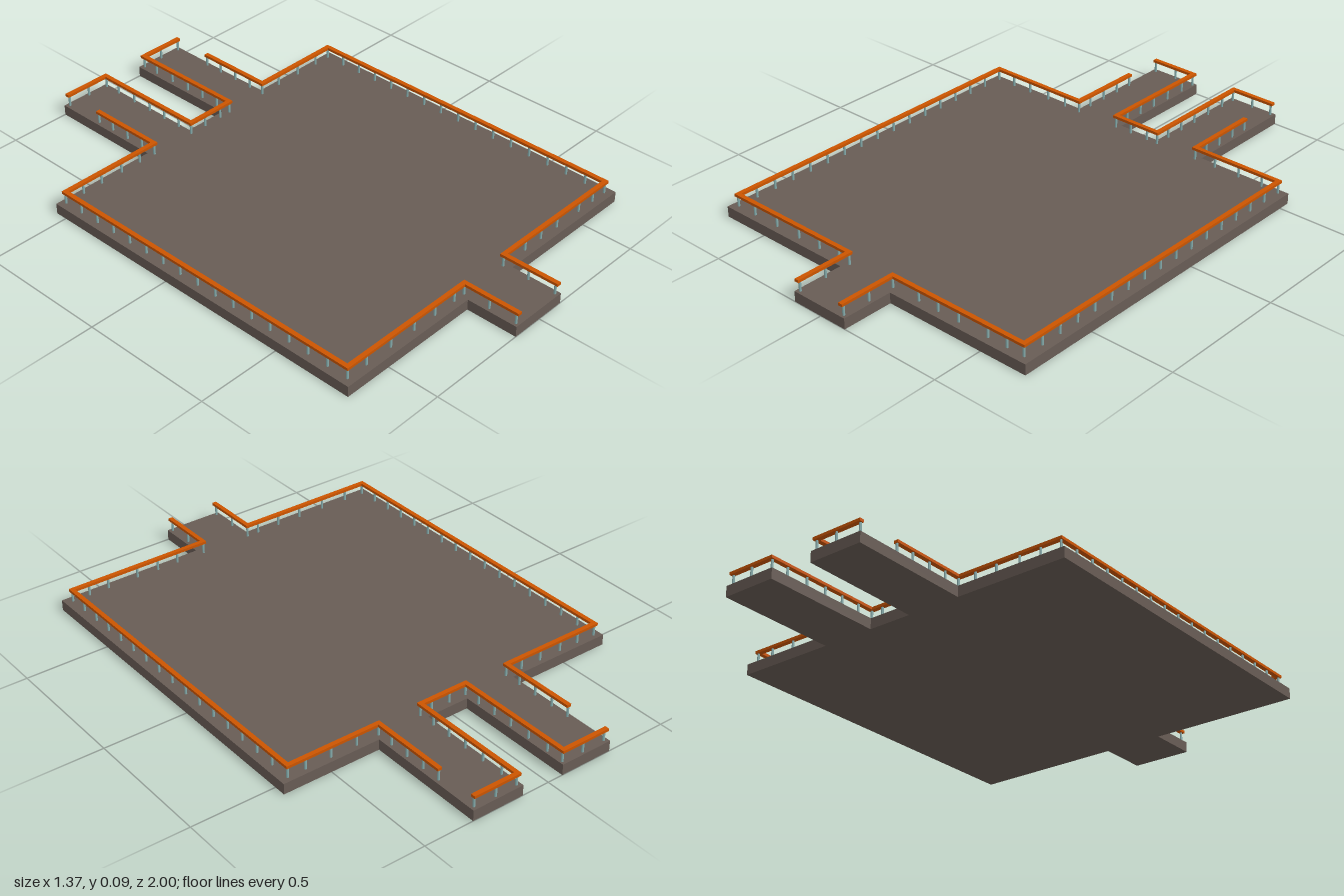
import * as THREE from 'three';

const SLAB_TOP = 0.04, RAIL_Y = 0.084, RAIL_H = 0.01, RAIL_W = 0.017;

export function createModel() {
  const model = new THREE.Group();
  model.name = 'railedPlatform';

  const deckMat = new THREE.MeshStandardMaterial({ color: 0x685c55 });
  deckMat.name = 'deck grey brown';
  const railMat = new THREE.MeshStandardMaterial({ color: 0xcc5500 });
  railMat.name = 'rail orange';
  const postMat = new THREE.MeshStandardMaterial({ color: 0x86adad });
  postMat.name = 'post pale teal';

  // Deck: one slab with a front walkway and two rear walkways
  const outline = [
    [-0.12, 1], [0.11, 1], [0.11, 0.805], [0.685, 0.805], [0.685, -0.545],
    [0.31, -0.545], [0.31, -1], [0.107, -1], [0.107, -0.545], [-0.06, -0.545],
    [-0.06, -1], [-0.265, -1], [-0.265, -0.545], [-0.685, -0.545],
    [-0.685, 0.805], [-0.12, 0.805],
  ];
  const shape = new THREE.Shape(outline.map(([x, z]) => new THREE.Vector2(x, -z)));
  const deckGeo = new THREE.ExtrudeGeometry(shape, { depth: SLAB_TOP, bevelEnabled: false });
  deckGeo.rotateX(-Math.PI / 2);
  const deck = new THREE.Mesh(deckGeo, deckMat);
  deck.name = 'deck';
  model.add(deck);

  // Railing runs: corner points in order along the edge of the deck
  const runs = {
    leftRailing: [[0.095, 0.995], [0.095, 0.777], [0.655, 0.777], [0.655, -0.524],
      [0.296, -0.524], [0.296, -0.82]],
    rightRailing: [[-0.106, 0.995], [-0.106, 0.777], [-0.658, 0.777], [-0.658, -0.524],
      [-0.25, -0.524], [-0.25, -0.82]],
    rearRailing: [[-0.25, -0.988], [-0.07, -0.988], [-0.07, -0.524], [0.123, -0.524],
      [0.123, -0.988], [0.296, -0.988]],
  };
  // Post positions between the corners: x for crosswise runs, z for lengthwise
  const side = Array.from({ length: 15 }, (_, i) => 0.777 - (i + 1) * 1.301 / 16);
  const rear = [-0.59, -0.667, -0.746];
  const stops = {
    leftRailing: [[0.88], [0.211, 0.296, 0.384, 0.507, 0.586], side, [0.384, 0.487, 0.586], rear],
    rightRailing: [[0.88], [-0.155, -0.25, -0.35, -0.46, -0.572], side,
      [-0.579, -0.497, -0.405, -0.32], rear],
    rearRailing: [[-0.155], [...rear, -0.83, -0.917], [0, 0.076], [...rear, -0.83, -0.917], [0.211]],
  };

  const postH = RAIL_Y - SLAB_TOP;
  const postGeo = new THREE.CylinderGeometry(0.0045, 0.0045, postH, 8);
  for (const [name, points] of Object.entries(runs)) {
    const railing = new THREE.Group();
    railing.name = name;
    const addPost = (x, z) => {
      const post = new THREE.Mesh(postGeo, postMat);
      post.name = 'post';
      post.position.set(x, SLAB_TOP + postH / 2, z);
      railing.add(post);
    };
    points.forEach(([x, z], i) => {
      // Corner and end posts stay just inside the deck edge
      addPost(x, THREE.MathUtils.clamp(z, -0.985, 0.987));
      if (i === points.length - 1) return;
      const [x2, z2] = points[i + 1];
      const crosswise = z === z2;
      // Handrail bar, lengthened by half its width so corners meet
      const bar = new THREE.Mesh(new THREE.BoxGeometry(
        Math.abs(x2 - x) + RAIL_W, RAIL_H, Math.abs(z2 - z) + (crosswise ? RAIL_W : 0.01)), railMat);
      bar.name = 'handrail';
      bar.position.set((x + x2) / 2, RAIL_Y, (z + z2) / 2);
      railing.add(bar);
      for (const s of stops[name][i]) crosswise ? addPost(s, z) : addPost(x, s);
    });
    model.add(railing);
  }
  return model;
}
